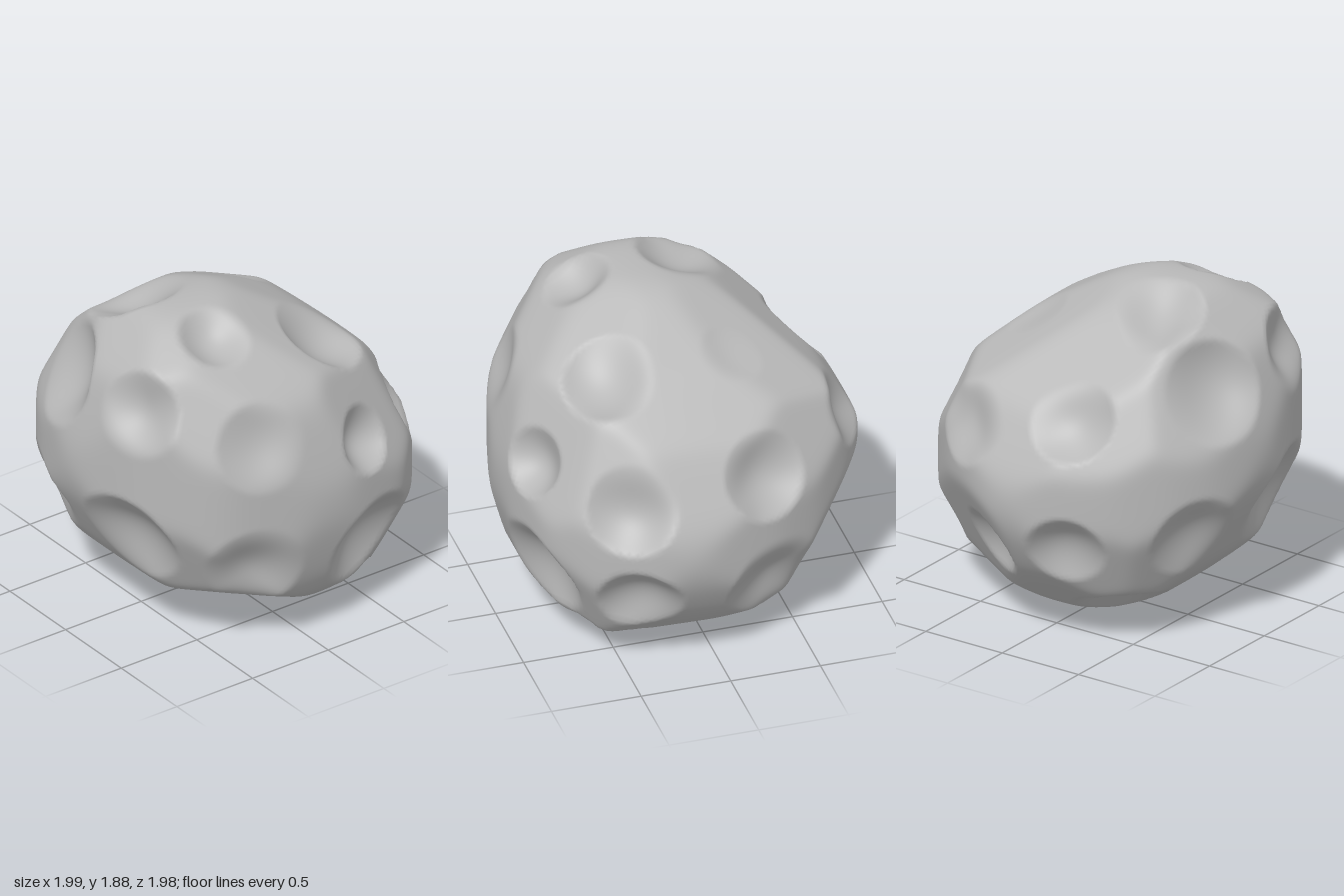
import * as THREE from 'three';
import { mergeVertices } from 'three/addons/utils/BufferGeometryUtils.js';

const CENTRE_Y = 0.94;
const SHARPNESS = 70; // higher makes crisper ridges between the facets
const V = (x, y, z) => new THREE.Vector3(x, y, z);
const rad = THREE.MathUtils.degToRad;

// Facet rings: two axes of a plane, then facet distances at even steps around it
const S = Math.SQRT1_2, C = Math.cos(Math.PI / 6), K = S / 2;
const mainRings = [
  [V(1, 0, 0), V(0, 1, 0), [1, .97, 1, 1, .98, .965, .94, .885, .85, .865, .86, .945,
    1, .985, .96, .955, .95, .93, .94, .95, 1.03, 1.065, 1.04, 1]],
  [V(0, 0, 1), V(0, 1, 0), [1, .995, 1.07, 1.125, 1.11, 1.025, .94, .87, .78, .8, .82, .92,
    1, 1.01, 1, 1.01, .99, .945, .94, .91, .89, .885, .88, .94]],
  [V(1, 0, 0), V(0, 0, 1), [1, .985, 1.02, 1.04, .99, .97, .99, .96, .955, .955, .95, .965,
    1, .965, .94, .925, .91, .92, 1, 1.02, 1.02, 1.065, 1.05, 1]],
];
const slantedRings = [
  [V(S, 0, -S), V(-K, C, -K), [1.04, .9, .79, .77, .8, .9, .97, .93, .91, .89, 1.05, 1.04]],
  [V(-S, 0, S), V(K, C, K), [.96, .94, 1.05, 1.07, .98, .92, 1.06, 1.07, .99, .93, .93, .95]],
  [V(-S, 0, -S), V(K, C, -K), [.92, .84, .77, .84, .97, 1.03, 1.02, .94, .89, .92, .96, .88]],
];

// Craters: longitude from the front, latitude, radius, depth
const upperCraters = [
  [-14, 30, .29, .09], [27, 29, .25, .13], [-25, 63, .28, .1], [53, 57, .2, .1],
  [125, 49, .26, .09], [-146, 60, .18, .02], [-112, 16, .24, .09], [-70, 26, .24, .09],
  [69, 21, .26, .08], [110, 12, .19, .11], [149, 7, .25, .09], [-162, 13, .25, .12],
];
const lowerCraters = [
  [-25, -18, .26, .08], [22, -17, .31, .13], [66, -21, .29, .12], [113, -25, .3, .14],
  [152, -25, .24, .13], [-160, -27, .3, .13], [-107, -28, .2, .08], [-70, -20, .22, .1],
  [40, -56, .22, .08], [-48, -55, .26, .08], [125, -56, .29, .12], [-150, -62, .19, .06],
];

// Each facet as its normal divided by its distance from the centre
const facets = [...mainRings, ...slantedRings].flatMap(([a, b, distances]) => distances.map((d, i) => {
  const t = i / distances.length * Math.PI * 2;
  return V(0, 0, 0).addScaledVector(a, Math.cos(t) / d).addScaledVector(b, Math.sin(t) / d);
}));

// Point of the softly rounded polyhedron along a direction
function bodyPoint(dir) {
  let sum = 0;
  for (const facet of facets) sum += Math.max(0, facet.dot(dir)) ** SHARPNESS;
  return dir.clone().multiplyScalar(1.015 * sum ** (-1 / SHARPNESS));
}

function makeCrater([longitude, latitude, radius, depth]) {
  const axis = V(0, 0, 0).setFromSphericalCoords(1, rad(90 - latitude), rad(longitude));
  const centre = bodyPoint(axis);
  return { axis, radius, centre, floor: centre.length() - depth };
}

// Body surface, sinking towards a level floor inside each crater
function surfacePoint(dir, craters) {
  const base = bodyPoint(dir), p = base.clone();
  for (const { axis, radius, centre, floor } of craters) {
    const t = base.distanceTo(centre) / radius;
    if (t < 1) p.addScaledVector(axis, Math.min(0, floor - base.dot(axis)) * (1 - t * t));
  }
  return p;
}

export function createModel() {
  const craters = [...upperCraters, ...lowerCraters].map(makeCrater);

  // Welded sphere, so that the normals come out smooth
  const sphere = new THREE.IcosahedronGeometry(1, 48);
  sphere.deleteAttribute('uv');
  sphere.deleteAttribute('normal');
  const geometry = mergeVertices(sphere, 1e-5);

  const position = geometry.attributes.position;
  for (let i = 0; i < position.count; i++) {
    const dir = V(0, 0, 0).fromBufferAttribute(position, i).normalize();
    const p = surfacePoint(dir, craters);
    position.setXYZ(i, p.x, p.y + CENTRE_Y, p.z);
  }
  geometry.computeVertexNormals();

  const stone = new THREE.MeshStandardMaterial({ color: 0xb8b8b8 });
  stone.name = 'grey stone';
  const rock = new THREE.Mesh(geometry, stone);
  rock.name = 'crateredRock';
  const group = new THREE.Group();
  group.name = 'asteroid';
  group.add(rock);
  return group;
}
